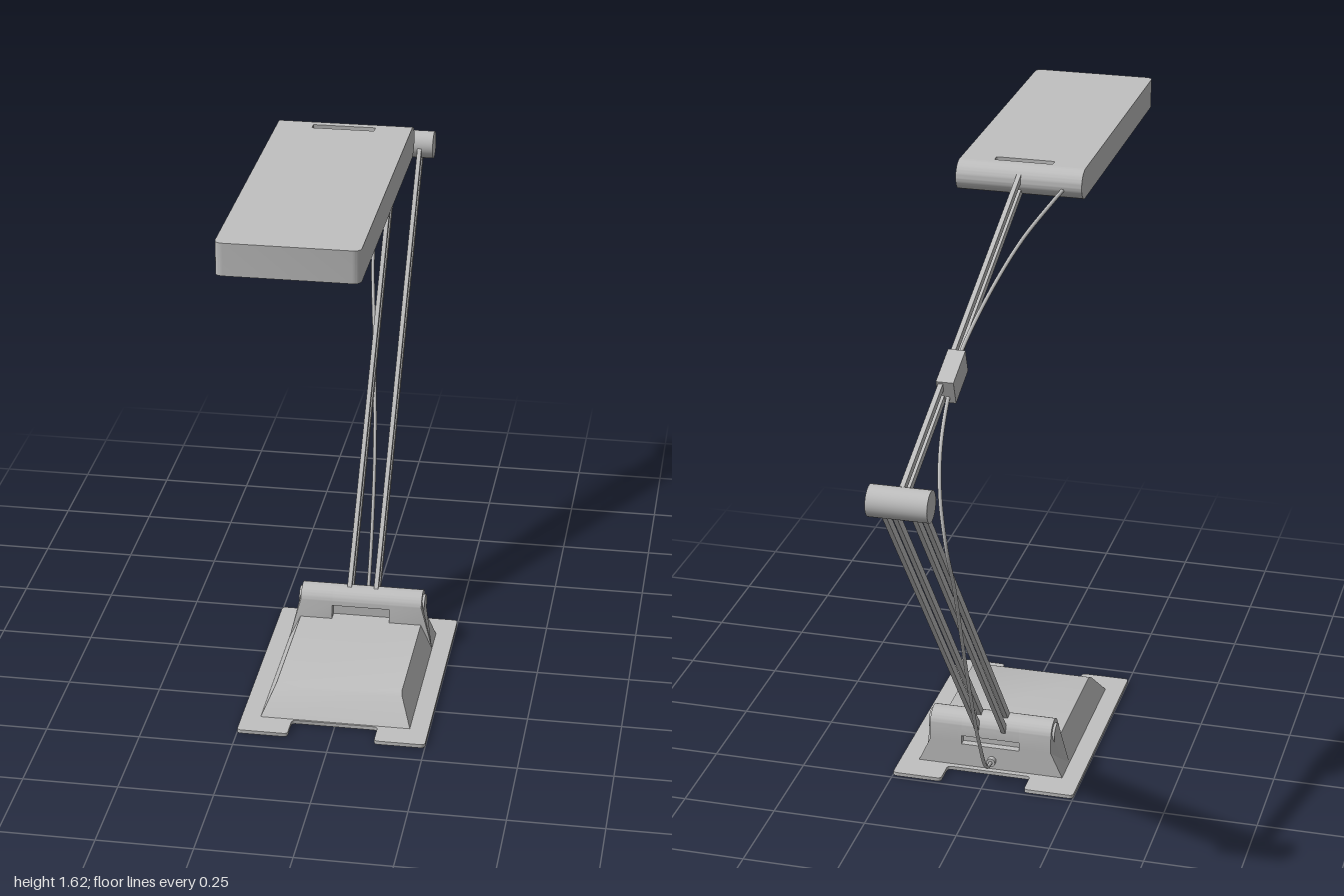
import * as THREE from 'three';
import { toCreasedNormals } from 'three/addons/utils/BufferGeometryUtils.js';

const metal = new THREE.MeshStandardMaterial({ color: 0xc0c0c0 });
metal.name = 'brushed grey metal';

export function createModel() {
  const model = new THREE.Group();
  model.name = 'deskLamp';

  const add = (name, geometry) => {
    const mesh = new THREE.Mesh(geometry, metal);
    mesh.name = name;
    model.add(mesh);
    return mesh;
  };

  // Side profile in (z, y), extruded across x from x0 to x1
  const acrossX = (shape, x0, x1) => new THREE.ExtrudeGeometry(shape, { depth: x1 - x0, bevelEnabled: false, curveSegments: 16 })
    .rotateY(-Math.PI / 2).translate(x1, 0, 0);

  // Plan outline in (x, -z), extruded upwards from y0
  const upwards = (shape, y0, height) => new THREE.ExtrudeGeometry(shape, { depth: height, bevelEnabled: false, curveSegments: 6 })
    .rotateX(-Math.PI / 2).translate(0, y0, 0);

  const polygon = (points) => new THREE.Shape(points.map(([a, b]) => new THREE.Vector2(a, b)));

  // Closed outline with every corner rounded by r
  const rounded = (points, r) => {
    const shape = new THREE.Shape();
    const p = points.map(([a, b]) => new THREE.Vector2(a, b));
    p.forEach((c, i) => {
      const prev = p[(i + p.length - 1) % p.length], next = p[(i + 1) % p.length];
      const a = c.clone().add(prev.clone().sub(c).setLength(r));
      const b = c.clone().add(next.clone().sub(c).setLength(r));
      if (i === 0) shape.moveTo(a.x, a.y); else shape.lineTo(a.x, a.y);
      shape.quadraticCurveTo(c.x, c.y, b.x, b.y);
    });
    shape.closePath();
    return shape;
  };

  // Sides lean inwards from the plate up to the top of the base
  const taper = (geometry) => {
    const p = geometry.attributes.position;
    for (let i = 0; i < p.count; i++) {
      const x = p.getX(i);
      if (Math.abs(x) < 0.1) continue;
      const t = Math.min(Math.max((p.getY(i) - 0.01) / 0.07, 0), 1);
      p.setX(i, Math.sign(x) * (0.2 - 0.032 * t));
    }
    return toCreasedNormals(geometry, 0.5);
  };

  const barrel = (name, length, radius, x, y, z) =>
    add(name, new THREE.CylinderGeometry(radius, radius, length, 32).rotateZ(Math.PI / 2)).position.set(x, y, z);

  // Base plate, notched at the front and the back
  add('basePlate', toCreasedNormals(upwards(rounded([
    [-0.25, -0.44], [-0.115, -0.44], [-0.115, -0.37], [0.115, -0.37], [0.115, -0.44], [0.25, -0.44],
    [0.25, 0.24], [0.115, 0.24], [0.115, 0.17], [-0.115, 0.17], [-0.115, 0.24], [-0.25, 0.24],
  ], 0.012), 0, 0.01), 0.5));

  // Weighted base body with a sloping front
  add('baseBody', taper(acrossX(polygon([
    [0.365, 0.01], [0.31, 0.072], [0.295, 0.08], [-0.07, 0.08], [-0.07, 0.01],
  ]), -0.2, 0.2)));

  // Hinge housing: two cheeks and a recessed middle
  const hingeY = 0.122, hingeZ = -0.115;
  const cheek = new THREE.Shape();
  cheek.moveTo(-0.07, 0.01);
  cheek.lineTo(-0.07, 0.08);
  cheek.lineTo(hingeZ + 0.04, hingeY);
  cheek.absarc(hingeZ, hingeY, 0.04, 0, Math.PI, false);
  cheek.lineTo(-0.155, 0.08);
  cheek.lineTo(-0.155, 0.01);
  for (const s of [-1, 1]) {
    add(s > 0 ? 'leftHingeCheek' : 'rightHingeCheek', taper(acrossX(cheek, s > 0 ? 0.08 : -0.2, s > 0 ? 0.2 : -0.08)));
    barrel(s > 0 ? 'leftHingeCap' : 'rightHingeCap', 0.01, 0.028, s * 0.17, hingeY, hingeZ);
  }
  const middle = new THREE.Shape();
  middle.moveTo(-0.07, 0.01);
  middle.lineTo(-0.07, 0.08);
  middle.lineTo(-0.1, 0.08);
  middle.lineTo(-0.1, 0.115);
  middle.lineTo(hingeZ + 0.04, 0.118);
  middle.absarc(hingeZ, hingeY, 0.04, 0, Math.PI, false);
  middle.lineTo(-0.155, 0.1);
  middle.lineTo(-0.135, 0.1);
  middle.lineTo(-0.135, 0.075);
  middle.lineTo(-0.155, 0.075);
  middle.lineTo(-0.155, 0.01);
  add('hingeMiddle', toCreasedNormals(acrossX(middle, -0.08, 0.08), 0.5));

  // Arms: parallel flat bars between two points in (y, z)
  const bars = (name, xs, [y0, z0], [y1, z1], gap) => {
    const length = Math.hypot(y1 - y0, z1 - z0);
    const angle = Math.atan2(z1 - z0, y1 - y0);
    for (const x of xs) for (const side of [-1, 1]) {
      const bar = add(name, new THREE.BoxGeometry(0.012, length, 0.02));
      bar.rotation.x = angle;
      bar.position.set(x, (y0 + y1) / 2 - Math.sin(angle) * side * gap, (z0 + z1) / 2 + Math.cos(angle) * side * gap);
    }
  };
  const elbow = [1.16, -0.957];
  bars('lowerArmBar', [-0.037, 0.037], [hingeY, hingeZ], elbow, 0.02);
  bars('upperArmBar', [0], elbow, [1.58, 0.17], 0.019);
  barrel('elbowBarrel', 0.15, 0.039, 0, ...elbow);

  // Clip that holds the cable to the upper arm
  const clip = add('cableClip', new THREE.BoxGeometry(0.044, 0.066, 0.118));
  clip.position.set(-0.011, 1.316, -0.545);
  clip.rotation.x = -Math.atan2(0.42, 1.127);

  // Lamp head: slotted slab with a rounded rear edge
  const slab = new THREE.Shape();
  slab.moveTo(-0.168, -0.18);
  slab.lineTo(-0.168, -0.98);
  slab.quadraticCurveTo(-0.168, -1, -0.148, -1);
  slab.lineTo(0.148, -1);
  slab.quadraticCurveTo(0.168, -1, 0.168, -0.98);
  slab.lineTo(0.168, -0.18);
  slab.closePath();
  slab.holes.push(rounded([[-0.078, -0.192], [0.078, -0.192], [0.078, -0.215], [-0.078, -0.215]], 0.004));
  add('lampHead', toCreasedNormals(upwards(slab, 1.54, 0.08), 0.5));

  const rear = new THREE.Shape();
  rear.moveTo(0.18, 1.54);
  rear.lineTo(0.18, 1.62);
  rear.absellipse(0.18, 1.58, 0.042, 0.04, Math.PI / 2, Math.PI * 1.5, false);
  add('lampHeadRear', toCreasedNormals(acrossX(rear, -0.168, 0.168), 0.5));

  // Power cable, looping loosely round the elbow
  const path = new THREE.CatmullRomCurve3([
    [-0.005, 0.035, -0.145], [-0.005, 0.045, -0.21], [-0.006, 0.163, -0.29], [-0.016, 0.415, -0.43],
    [-0.045, 0.67, -0.61], [-0.074, 0.87, -0.77], [-0.076, 0.99, -0.835], [-0.055, 1.11, -0.812],
    [-0.035, 1.195, -0.74], [-0.016, 1.27, -0.61], [-0.012, 1.335, -0.5], [-0.03, 1.415, -0.35],
    [-0.065, 1.505, -0.1], [-0.105, 1.557, 0.08], [-0.12, 1.572, 0.16],
  ].map((p) => new THREE.Vector3(...p)));
  add('cable', new THREE.TubeGeometry(path, 120, 0.005, 8));
  const plug = add('cableGrommet', new THREE.CylinderGeometry(0.012, 0.012, 0.02, 16).rotateX(Math.PI / 2));
  plug.position.set(-0.005, 0.036, -0.16);

  return model;
}
